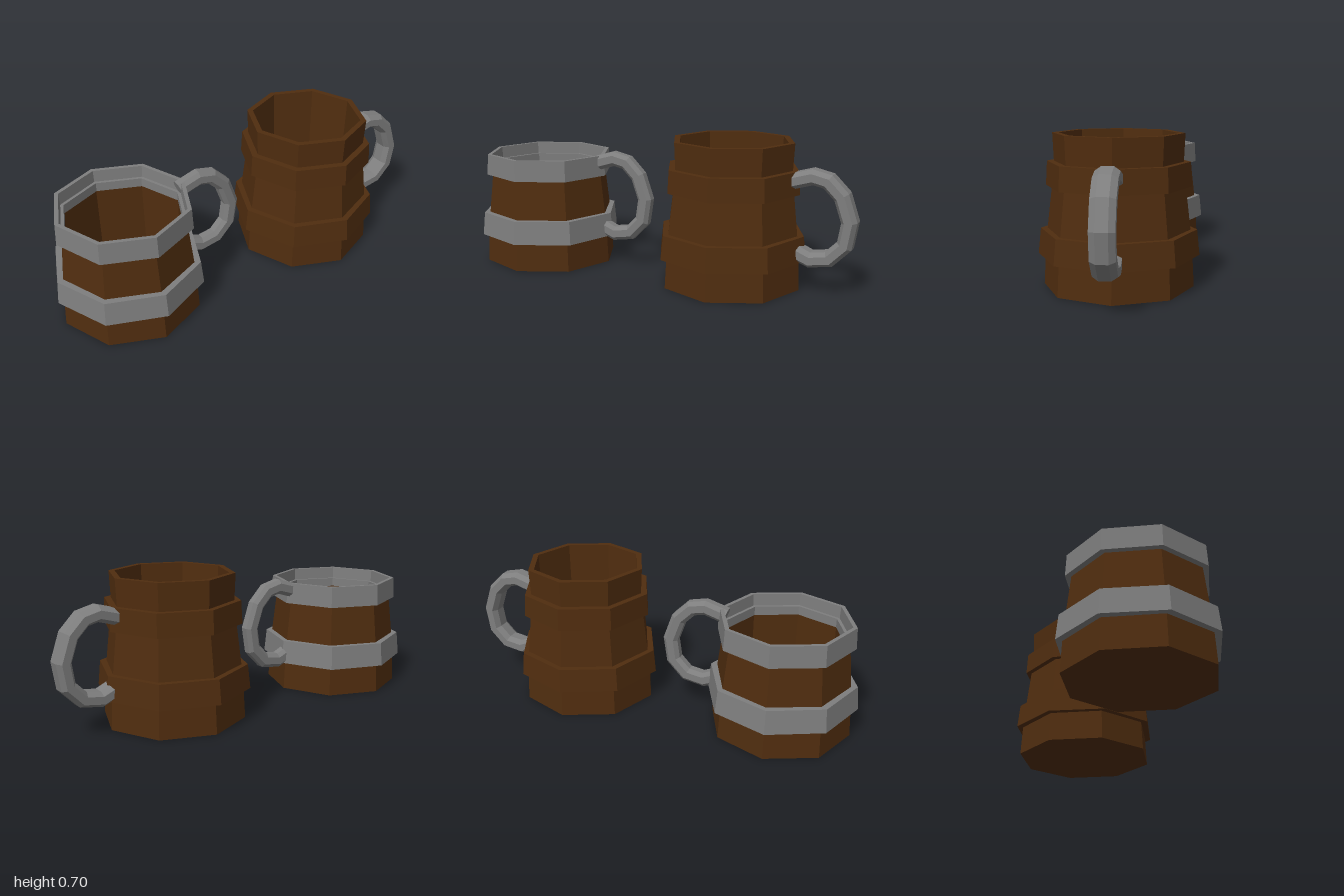
import * as THREE from 'three';

const wood = new THREE.MeshStandardMaterial({ color: 0x502d0f });
wood.name = 'dark wood';
const metal = new THREE.MeshStandardMaterial({ color: 0x7e7e7e });
metal.name = 'grey metal';

// One flat normal per triangle for the faceted look
function faceted(geometry) {
  const flat = geometry.toNonIndexed();
  flat.computeVertexNormals();
  return flat;
}

function addMesh(parent, name, geometry, material) {
  const mesh = new THREE.Mesh(faceted(geometry), material);
  mesh.name = name;
  parent.add(mesh);
  return mesh;
}

// Eight-sided turned part from a profile of [radius, height]
function turned(profile) {
  return new THREE.LatheGeometry(profile.map(([r, y]) => new THREE.Vector2(r, y)), 8);
}

// Hoop around the mug, sloping slightly inwards
function band(inner, bottom, top, y0, y1) {
  return turned([[inner, y0], [bottom, y0], [top, y1], [inner, y1]]);
}

// Bent bar: an eight-sided section swept along a path in the xy plane, capped at both ends
function handleGeometry(path, halfThick, halfWide) {
  const section = [[0.5, 1], [1, 0.5], [1, -0.5], [0.5, -1], [-0.5, -1], [-1, -0.5], [-1, 0.5], [-0.5, 1]];
  const n = section.length;
  const positions = [];
  const index = [];
  path.forEach(([x, y], i) => {
    const a = path[Math.max(i - 1, 0)];
    const b = path[Math.min(i + 1, path.length - 1)];
    const t = new THREE.Vector2(b[0] - a[0], b[1] - a[1]).normalize();
    for (const [w, h] of section) {
      positions.push(x - t.y * h * halfThick, y + t.x * h * halfThick, w * halfWide);
    }
    if (i === 0) return;
    for (let k = 0; k < n; k++) {
      const p = (i - 1) * n + k;
      const q = (i - 1) * n + (k + 1) % n;
      index.push(p, q, p + n, q, q + n, p + n);
    }
  });
  const last = (path.length - 1) * n;
  for (let k = 1; k < n - 1; k++) {
    index.push(0, k + 1, k, last, last + k, last + k + 1);
  }
  const geometry = new THREE.BufferGeometry();
  geometry.setAttribute('position', new THREE.Float32BufferAttribute(positions, 3));
  geometry.setIndex(index);
  return geometry;
}

const handlePath = [
  [0.29, 0.525], [0.395, 0.556], [0.465, 0.54], [0.53, 0.475], [0.57, 0.36],
  [0.553, 0.25], [0.485, 0.18], [0.395, 0.165], [0.31, 0.2],
];

function makeMug(name, x, bodyProfile, bandMaterial, upperBand, handleWidth) {
  const mug = new THREE.Group();
  mug.name = name;
  mug.position.x = x;
  addMesh(mug, 'body', turned(bodyProfile), wood).rotation.y = 0.02;
  addMesh(mug, 'lowerBand', band(0.3, 0.368, 0.356, 0.145, 0.262), bandMaterial).rotation.y = 0.04;
  addMesh(mug, 'upperBand', upperBand, bandMaterial).rotation.y = 0.015;
  addMesh(mug, 'handle', handleGeometry(handlePath, 0.037, handleWidth), metal);
  return mug;
}

export function createModel() {
  const model = new THREE.Group();
  model.name = 'mugs';

  // Staves shared by both mugs, up to the underside of the upper band
  const lower = [[0, 0], [0.344, 0], [0.336, 0.145], [0.326, 0.262], [0.303, 0.46]];

  // Short mug: metal bands, the upper one forming a raised rim with an inner ledge
  const rim = turned([
    [0.288, 0.46], [0.331, 0.46], [0.325, 0.565], [0.305, 0.565], [0.302, 0.505], [0.286, 0.505], [0.286, 0.46],
  ]);
  const shortBody = [...lower, [0.3, 0.49], [0.288, 0.49], [0.288, 0.05], [0, 0.05]];
  model.add(makeMug('shortMug', -0.638, shortBody, metal, rim, 0.035));

  // Tall mug: wooden bands and an open wooden neck
  const tallBody = [...lower, [0.293, 0.57], [0.299, 0.698], [0.27, 0.698], [0.247, 0.05], [0, 0.05]];
  model.add(makeMug('tallMug', 0.392, tallBody, wood, band(0.28, 0.331, 0.325, 0.46, 0.57), 0.053));

  return model;
}
